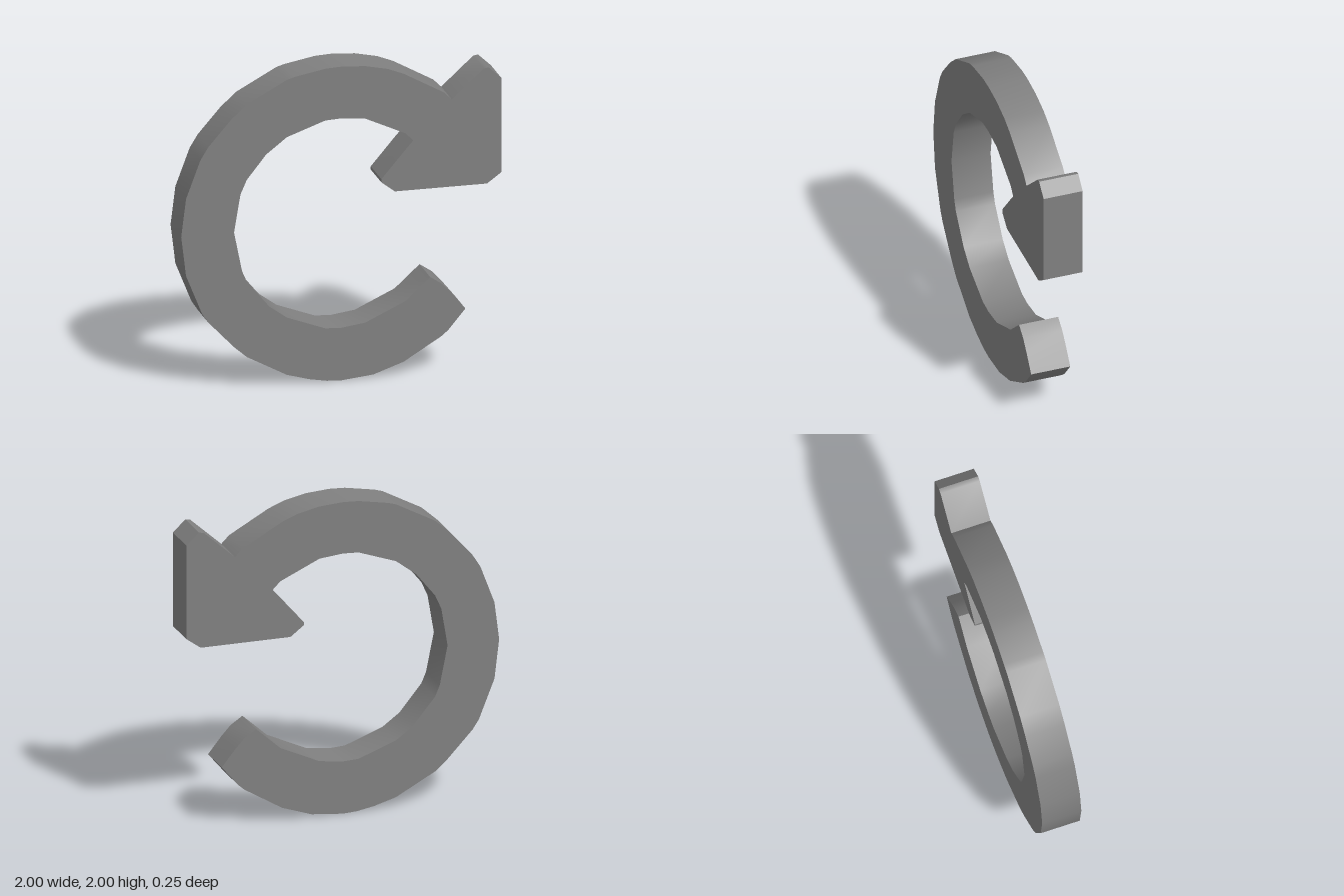
import * as THREE from 'three';
import { toCreasedNormals } from 'three/addons/utils/BufferGeometryUtils.js';

const DEPTH = 0.25;

// Outer rim, from the arrowhead round to the tail
const outerRim = [
  [0.69, 1.73], [0.64, 1.78], [0.39, 1.92], [0.29, 1.96], [0.15, 1.99], [0, 2], [-0.1, 1.995],
  [-0.29, 1.96], [-0.34, 1.945], [-0.59, 1.81], [-0.69, 1.72], [-0.83, 1.56], [-0.88, 1.48],
  [-0.97, 1.24], [-1, 1], [-0.97, 0.75], [-0.87, 0.5], [-0.83, 0.44], [-0.67, 0.27],
  [-0.59, 0.2], [-0.34, 0.065], [-0.2, 0.025], [-0.09, 0.005], [0, 0], [0.2, 0.02],
  [0.39, 0.085], [0.63, 0.23], [0.67, 0.265],
];

// Cut end of the tail
const tail = [[0.775, 0.39], [0.69, 0.495], [0.63, 0.56], [0.555, 0.61]];

// Inner rim, from the tail back to the arrowhead
const innerRim = [
  [0.4, 0.47], [0.15, 0.355], [0, 0.335], [-0.1, 0.34], [-0.34, 0.43], [-0.45, 0.51],
  [-0.59, 0.68], [-0.62, 0.75], [-0.67, 1], [-0.63, 1.24], [-0.59, 1.33], [-0.47, 1.48],
  [-0.34, 1.58], [-0.1, 1.665], [0, 1.67], [0.15, 1.655], [0.4, 1.54], [0.45, 1.49],
];

// Arrowhead with clipped corners
const head = [
  [0.4, 1.435], [0.25, 1.26], [0.25, 1.24], [0.335, 1.175], [0.91, 1.175],
  [1, 1.24], [1, 1.84], [0.92, 1.915], [0.89, 1.91],
];

export function createModel() {
  const group = new THREE.Group();
  group.name = 'circularArrow';

  const grey = new THREE.MeshStandardMaterial({ color: 0x808080 });
  grey.name = 'grey';

  // One solid slab, smooth round the rims and sharp at the corners
  const outline = [...outerRim, ...tail, ...innerRim, ...head].map(([x, y]) => new THREE.Vector2(x, y));
  const slab = new THREE.ExtrudeGeometry(new THREE.Shape(outline), { depth: DEPTH, bevelEnabled: false });
  slab.translate(0, 0, -DEPTH / 2);

  const arrow = new THREE.Mesh(toCreasedNormals(slab, 0.6), grey);
  arrow.name = 'arrowBody';
  group.add(arrow);
  return group;
}
